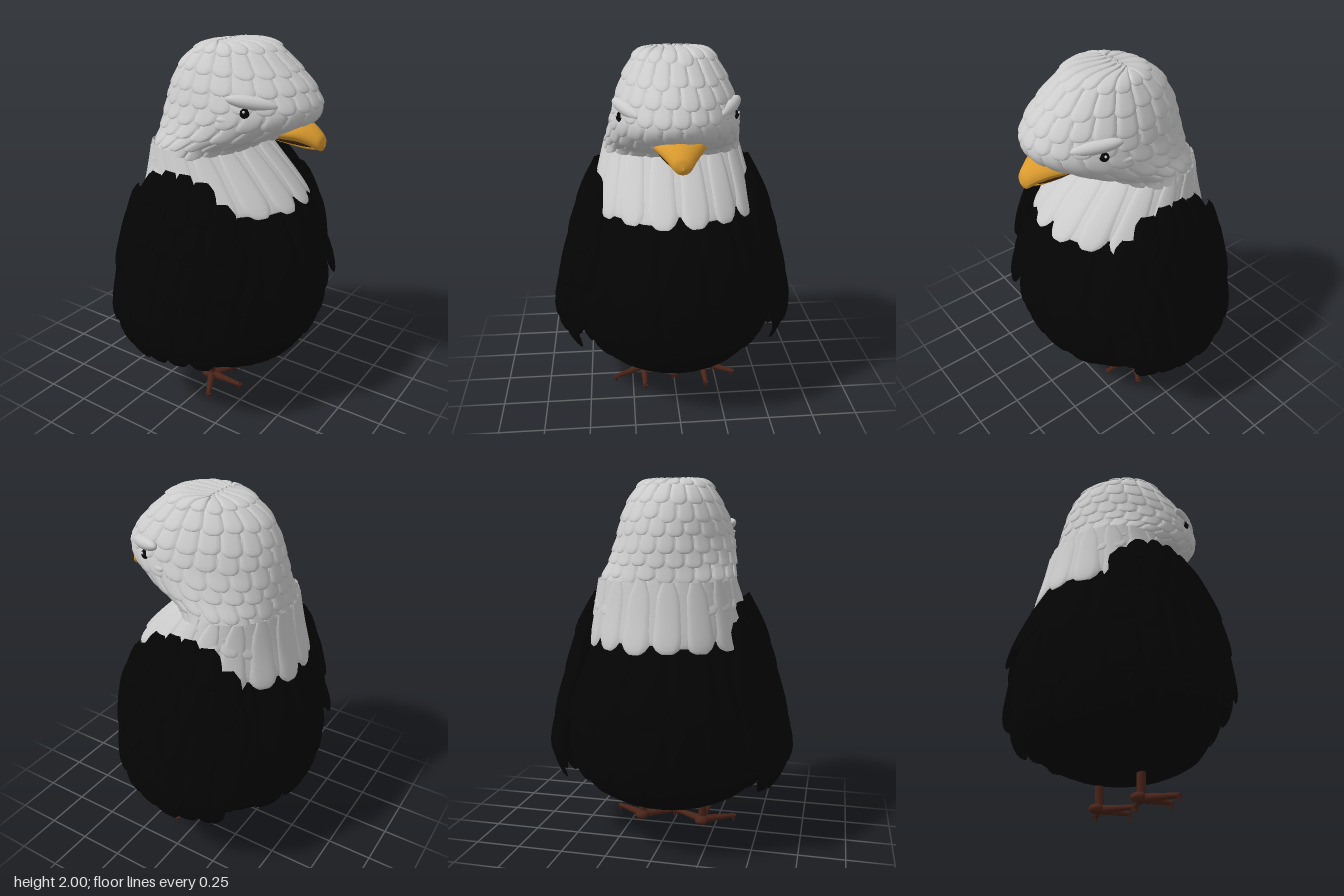
import * as THREE from 'three';
import { mergeGeometries, mergeVertices } from 'three/addons/utils/BufferGeometryUtils.js';

const mat = (color) => new THREE.MeshStandardMaterial({ color, side: THREE.DoubleSide });
const white = mat(0xcccccc), black = mat(0x040404), yellow = mat(0xd9992e);
const brown = mat(0x4a2419), dark = mat(0x2a170c), ink = mat(0x080808);

let seed = 7;
const jitter = (a) => ((seed = (seed * 16807) % 2147483647) / 2147483647 * 2 - 1) * a;

// Surface through rings [backX, backY, frontX, frontY, halfWidthZ]; s runs 0..1 from top to bottom
function surface(rings) {
  const back = new THREE.CatmullRomCurve3(rings.map((r) => new THREE.Vector3(r[0], r[1], r[4])));
  const front = new THREE.CatmullRomCurve3(rings.map((r) => new THREE.Vector3(r[2], r[3], r[4])));
  return (a, s) => {
    const t = THREE.MathUtils.clamp(s, 0, 1), b = back.getPoint(t), f = front.getPoint(t);
    const k = (1 + Math.cos(a)) / 2;
    return new THREE.Vector3(b.x + (f.x - b.x) * k, b.y + (f.y - b.y) * k, Math.sin(a) * f.z);
  };
}

// Grid of points p(u, v) with u, v in 0..1
function grid(nu, nv, p) {
  const pos = [], idx = [];
  for (let j = 0; j <= nv; j++) for (let i = 0; i <= nu; i++) pos.push(...p(i / nu, j / nv).toArray());
  for (let j = 0; j < nv; j++) for (let i = 0; i < nu; i++) {
    const a = j * (nu + 1) + i, b = a + nu + 1;
    idx.push(a, a + 1, b, a + 1, b + 1, b);
  }
  const g = new THREE.BufferGeometry();
  g.setAttribute('position', new THREE.Float32BufferAttribute(pos, 3));
  g.setIndex(idx);
  g.computeVertexNormals();
  return g;
}

function shell(S, sides, rows) {
  const g = grid(sides, rows, (u, v) => S(u * Math.PI * 2, v));
  g.deleteAttribute('normal');
  const m = mergeVertices(g, 1e-5);
  m.computeVertexNormals();
  return m;
}

// A domed feather, rounded at both ends, that follows a surface and lifts towards its tip
function feather(S, a, half, s0, s1, lift, bulge) {
  return grid(8, 9, (u, v) => {
    const t = Math.sin(v * Math.PI / 2), w = u * 2 - 1;
    const tip = Math.max(0, (t - 0.75) / 0.25), base = Math.max(0, 1 - t / 0.3);
    const width = Math.sqrt(1 - 0.92 * tip * tip) * Math.sqrt(1 - 0.7 * base * base);
    const th = a + w * half * width, s = s0 + (s1 - s0) * t, e = 0.004;
    const p = S(th, s);
    const n = S(th + e, s).sub(S(th - e, s)).cross(S(th, Math.min(1, s + e)).sub(S(th, s - e))).normalize();
    const dome = Math.sqrt(Math.max(0, 1 - w ** 4)) * Math.sqrt(Math.max(0, 1 - t ** 8));
    return p.addScaledVector(n, lift * t * t + bulge * dome);
  });
}

// Ring or arc of feathers; arch shortens those at the ends of an arc
function row(S, n, s0, s1, lift, bulge, { from = 0, span = Math.PI * 2, shift = 0, over = 1.06, vary = 0.01, arch = 0 } = {}) {
  const list = [], step = span / n;
  for (let i = 0; i < n; i++) {
    const cut = arch * ((2 * i + 1) / n - 1) ** 2;
    list.push(feather(S, from + (i + 0.5 + shift) * step, step / 2 * over, s0 + cut, s1 - cut + jitter(vary), lift + jitter(0.002), bulge));
  }
  return mergeGeometries(list);
}

export function createModel() {
  const model = new THREE.Group();
  const add = (parent, name, geo, m, x = 0, y = 0, z = 0) => {
    const mesh = new THREE.Mesh(geo, m);
    mesh.name = name;
    mesh.position.set(x, y, z);
    parent.add(mesh);
    return mesh;
  };
  const group = (name) => {
    const g = new THREE.Group();
    g.name = name;
    model.add(g);
    return g;
  };

  // Body with three long coats of feathers
  const body = group('body');
  const B = surface([[-.2, 1.36, .1, 1.36, .2], [-.37, 1.25, .26, 1.28, .37], [-.46, 1.1, .42, 1.1, .43],
    [-.53, .9, .515, .9, .5], [-.56, .7, .54, .7, .55], [-.56, .5, .525, .5, .555], [-.515, .36, .47, .36, .505],
    [-.43, .275, .42, .275, .43], [-.25, .187, .25, .187, .25], [-.005, .138, .005, .138, .005]]);
  add(body, 'bodyCore', shell(B, 28, 36), black);
  add(body, 'lowerBodyFeathers', row(B, 18, .34, .67, .012, .014, { vary: .02 }), black);
  add(body, 'middleBodyFeathers', row(B, 18, .2, .57, .018, .016, { shift: .5, vary: .02 }), black);
  add(body, 'upperBodyFeathers', row(B, 14, .1, .43, .07, .016, { shift: .5, vary: .012 }), black);

  // Wings: a tilted pad under overlapping rows of feathers
  const W = surface([[-.41, 1.38, .35, 1.38, .41], [-.55, 1.22, .5, 1.22, .485], [-.61, 1, .58, 1, .555],
    [-.63, .75, .58, .75, .62], [-.62, .5, .55, .5, .655], [-.57, .3, .51, .3, .57]]);
  for (const side of [1, -1]) {
    const wing = group('wing');
    const pad = add(wing, 'wingPad', new THREE.SphereGeometry(1, 28, 18), black, -.02, .88, side * .49);
    pad.scale.set(.35, .45, .1);
    pad.rotation.x = -side * .23;
    const rows = [[5, .46, .97, .56, .008], [6, .4, .84, .7, .024], [6, .27, .66, .72, .02],
      [5, .12, .46, .64, .018], [4, .01, .3, .46, .016]];
    for (const [n, s0, s1, reach, lift] of rows) add(wing, 'wingFeathers', row(W, n, s0, s1, lift, .02,
      { from: side * Math.PI / 2 - reach, span: reach * 2, over: 1.25, vary: .03, arch: .07 }), black);
  }

  // Flared collar of long pale feathers
  const collar = group('collar');
  const C = surface([[-.39, 1.45, .13, 1.47, .36], [-.435, 1.26, .3, 1.31, .405], [-.49, 1.08, .465, 1.14, .445]]);
  add(collar, 'collarUnderFeathers', row(C, 16, 0, .86, 0, .012, { shift: .5, vary: .06, over: 1.2 }), white);
  add(collar, 'collarFeathers', row(C, 16, 0, .97, .006, .016, { vary: .03, over: 1 }), white);

  // Head with short overlapping feathers parted along the crown
  const head = group('head');
  const H = surface([[.004, 1.985, .006, 1.985, .1], [-.13, 1.955, .24, 1.974, .18], [-.235, 1.88, .38, 1.87, .24],
    [-.3, 1.77, .475, 1.77, .285], [-.335, 1.66, .515, 1.67, .312], [-.355, 1.55, .39, 1.565, .335],
    [-.37, 1.45, .2, 1.49, .355], [-.4, 1.32, .14, 1.42, .375], [-.43, 1.2, .16, 1.32, .395]]);
  add(head, 'headCore', shell(H, 32, 40), white);
  const tops = [.76, .67, .58, .49, .4, .31, .22, .12, .005];
  const counts = [20, 22, 22, 22, 22, 22, 20, 18, 16];
  tops.forEach((s, i) => add(head, 'headFeathers',
    row(H, counts[i], s, s + .17, .014, .01, { shift: (i % 2) / 2, vary: .014 }), white));

  // Eyes under heavy brows
  for (const side of [1, -1]) {
    add(head, 'eye', new THREE.SphereGeometry(.028, 18, 14), ink, .28, 1.693, side * .275);
    add(head, 'eyeGlint', new THREE.SphereGeometry(.007, 10, 8), white, .288, 1.704, side * .301);
    const brow = add(head, 'brow', new THREE.SphereGeometry(1, 24, 14), white, .305, 1.74, side * .252);
    brow.scale.set(.13, .035, .036);
    brow.rotation.set(0, side * .5, -.15, 'YXZ');
    const cheek = add(head, 'cheek', new THREE.SphereGeometry(1, 24, 14), white, .26, 1.64, side * .268);
    cheek.scale.set(.13, .03, .025);
    cheek.rotation.set(0, side * .47, -.1, 'YXZ');
  }

  // Beak: sections [x, y, half height, half width]
  const beak = group('beak');
  const loft = (sections) => {
    const curve = new THREE.CatmullRomCurve3(sections.map(([x, y]) => new THREE.Vector3(x, y, 0)));
    const size = new THREE.CatmullRomCurve3(sections.map(([, , h, w]) => new THREE.Vector3(h, w, 0)));
    return grid(24, 20, (u, v) => {
      const p = curve.getPoint(v), r = size.getPoint(v), a = u * Math.PI * 2;
      return new THREE.Vector3(p.x, p.y + Math.sin(a) * r.x, -Math.cos(a) * r.y);
    });
  };
  add(beak, 'upperBeak', loft([[.3, 1.568, .04, .14], [.38, 1.57, .045, .135], [.46, 1.568, .05, .108],
    [.52, 1.546, .047, .072], [.562, 1.521, .038, .044], [.576, 1.512, .002, .002]]), yellow);
  add(beak, 'mouth', loft([[.3, 1.542, .012, .112], [.4, 1.53, .012, .1], [.48, 1.514, .01, .068],
    [.535, 1.5, .005, .02]]), dark);
  add(beak, 'lowerBeak', loft([[.3, 1.542, .02, .108], [.4, 1.526, .02, .094], [.48, 1.506, .017, .06],
    [.535, 1.494, .01, .02], [.545, 1.493, .002, .002]]), yellow);

  // Legs with three clawed toes each
  for (const side of [1, -1]) {
    const leg = group('leg');
    leg.position.z = side * .18;
    add(leg, 'shin', new THREE.CylinderGeometry(.024, .024, .17, 12), brown, 0, .125, 0);
    add(leg, 'ankle', new THREE.SphereGeometry(.04, 14, 10), brown, -.018, .045, 0).scale.set(1.1, .65, 1);
    for (const a of [-1.05, 0, 1.05]) {
      const toe = new THREE.Group();
      toe.name = 'toe';
      toe.rotation.y = a;
      leg.add(toe);
      add(toe, 'toeBone', new THREE.CylinderGeometry(.012, .024, .2, 10), brown, .1, .042, 0).rotation.z = -Math.PI / 2;
      add(toe, 'claw', new THREE.ConeGeometry(.016, .045, 8), brown, .197, .0225, 0).rotation.z = Math.PI;
    }
  }
  return model;
}
